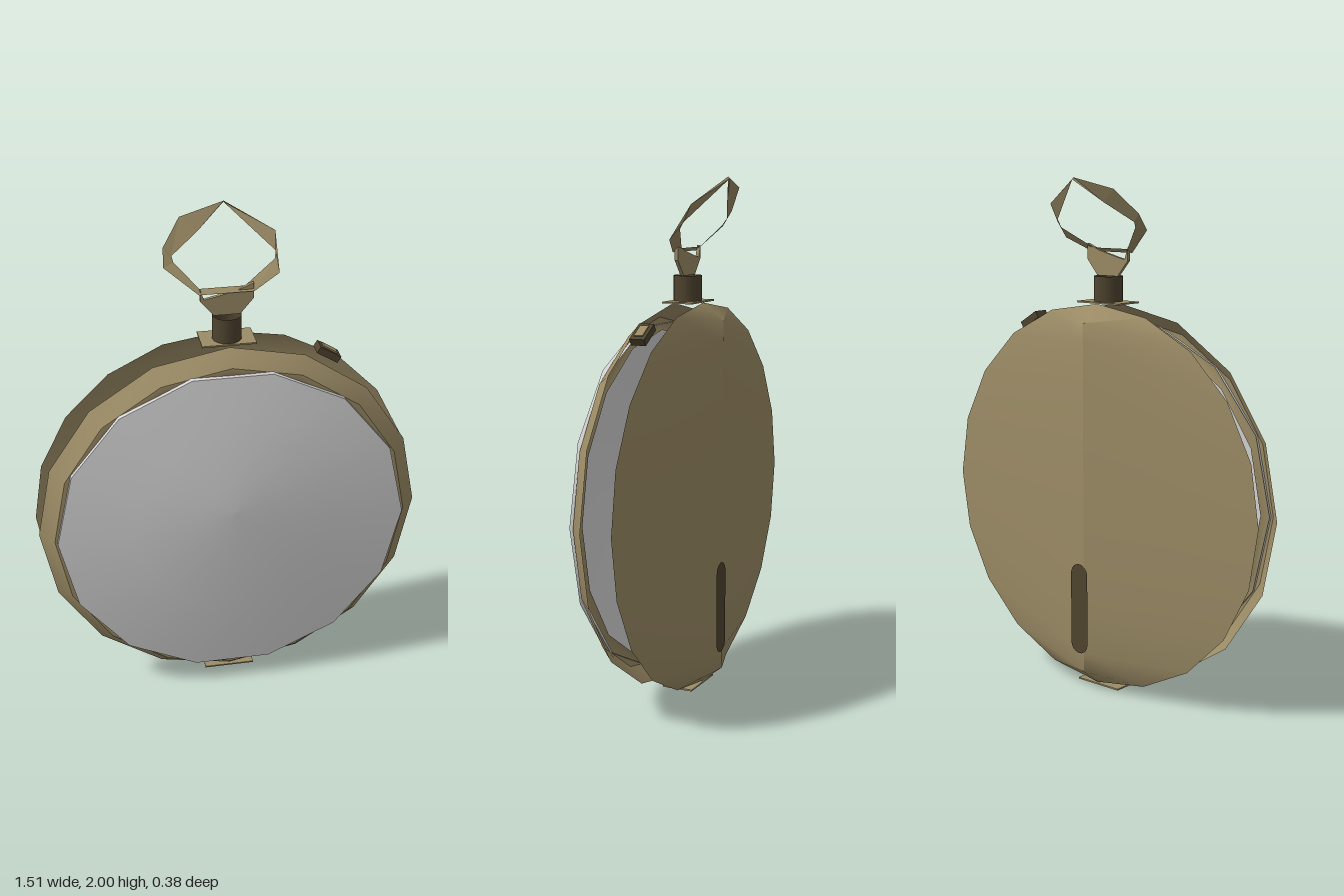
import * as THREE from 'three';

const gold = new THREE.MeshStandardMaterial({ color: 0x9c8c66, side: THREE.DoubleSide });
gold.name = 'antique gold';
const dark = new THREE.MeshStandardMaterial({ color: 0x4f442f, side: THREE.DoubleSide });
dark.name = 'dark bronze';
const glass = new THREE.MeshStandardMaterial({ color: 0xd4d4d4, side: THREE.DoubleSide });
glass.name = 'pale crystal';

const CY = 0.77; // height of the case centre

// Ring of [x, y, z] points around the case centre, starting at the top, counter-clockwise from the front
function ring(n, r, z, turn = 0, cy = CY) {
  return Array.from({ length: n }, (_, i) => {
    const a = Math.PI / 2 + turn + (i / n) * Math.PI * 2;
    return [r * Math.cos(a), cy + r * Math.sin(a), z];
  });
}

// Joins successive rings of equal length into one smooth surface
function loft(rings, closed = true) {
  const n = rings[0].length, index = [];
  for (let k = 0; k < rings.length - 1; k++) {
    for (let i = 0; i < (closed ? n : n - 1); i++) {
      const j = (i + 1) % n, a = k * n, b = a + n;
      index.push(a + i, a + j, b + j, a + i, b + j, b + i);
    }
  }
  const geo = new THREE.BufferGeometry();
  geo.setAttribute('position', new THREE.Float32BufferAttribute(rings.flat(2), 3));
  geo.setIndex(index);
  geo.computeVertexNormals();
  return geo;
}

function shapeOf(points) {
  return new THREE.Shape(points.map(([x, y]) => new THREE.Vector2(x, y)));
}

export function createModel() {
  const model = new THREE.Group();
  const add = (name, geo, mat, x = 0, y = 0, z = 0) => {
    const mesh = new THREE.Mesh(geo, mat);
    mesh.name = name;
    mesh.position.set(x, y, z);
    model.add(mesh);
    return mesh;
  };

  // Front bezel: sloping outer band, narrow lip and inner step
  add('bezelBand', loft([ring(16, 0.752, 0.05), ring(16, 0.695, 0.11)]), gold);
  add('bezelLip', loft([ring(16, 0.695, 0.11), ring(16, 0.665, 0.113), ring(16, 0.645, 0.1)]), gold);

  // Domed crystal with a short upright rim
  const turn = Math.PI / 14;
  add('crystalRim', loft([ring(14, 0.685, 0.1, turn), ring(14, 0.685, 0.13, turn)]), glass);
  add('crystal', loft([
    ring(14, 0.685, 0.13, turn),
    ring(14, 0.4, 0.166, turn, 0.8),
    ring(14, 0.14, 0.186, turn, 0.86),
    ring(14, 0.001, 0.19, turn, 0.88),
  ]), glass);

  // Back cover: round rim rising to an upright central ridge
  const rim = ring(20, 0.757, -0.076);
  const ridge = rim.map(([, y]) => [0, THREE.MathUtils.clamp(y, 0.08, 1.46), -0.16]);
  for (const [name, from, to] of [['backCoverRight', 0, 11], ['backCoverLeft', 10, 21]]) {
    const pick = (list) => [...list, list[0]].slice(from, to);
    add(name, loft([pick(ridge), pick(rim)], false), gold);
  }

  // Rounded dark mark low on the back
  const pill = new THREE.Shape();
  pill.absarc(0, 0.14, 0.042, 0, Math.PI);
  pill.absarc(0, -0.14, 0.042, Math.PI, Math.PI * 2);
  add('backMark', new THREE.ShapeGeometry(pill, 6), dark, 0.02, 0.335, -0.164).rotation.y = Math.PI;

  // Square plates bridging the case at top and bottom
  for (const [name, y] of [['topPlate', 1.53], ['bottomPlate', 0.004]]) {
    add(name, new THREE.BoxGeometry(0.205, 0.006, 0.125), gold, 0, y, -0.013);
  }

  // Open stem tube
  add('stem', new THREE.CylinderGeometry(0.055, 0.055, 0.1, 16, 1, true), dark, 0, 1.58, -0.01);

  // Flared neck between the stem and the bow
  const neck = shapeOf([
    [-0.05, 1.63], [0.05, 1.63], [0.1, 1.69], [0.1, 1.75], [0.04, 1.725],
    [-0.04, 1.705], [-0.085, 1.695], [-0.1, 1.74], [-0.1, 1.69],
  ]);
  add('neck', new THREE.ExtrudeGeometry(neck, { depth: 0.014, bevelEnabled: false }), gold, 0, 0, -0.017);

  // Bow: thin faceted loop leaning backwards
  const outer = [[0.02, 2], [-0.15, 1.96], [-0.22, 1.87], [-0.225, 1.81], [-0.105, 1.72],
    [0.1, 1.72], [0.2, 1.77], [0.2, 1.9]];
  const inner = [[0.02, 1.993], [-0.085, 1.91], [-0.19, 1.84], [-0.185, 1.82], [-0.1, 1.735],
    [0.07, 1.735], [0.19, 1.81], [0.195, 1.835]];
  const lean = (points, dz) => points.map(([x, y]) => [x, y, 0.005 - (y - 1.72) * 0.68 + dz]);
  const bow = loft([lean(outer, 0), lean(inner, -0.012)]).toNonIndexed();
  bow.computeVertexNormals();
  add('bow', bow, gold);

  // Small push button on the upper side of the case
  const button = new THREE.Group();
  button.name = 'pushButton';
  const base = new THREE.Mesh(new THREE.BoxGeometry(0.095, 0.028, 0.06), dark);
  base.name = 'buttonBase';
  const cap = new THREE.Mesh(new THREE.BoxGeometry(0.06, 0.006, 0.034), gold);
  cap.name = 'buttonCap';
  cap.position.y = 0.016;
  button.add(base, cap);
  button.position.set(0.388, 1.437, -0.013);
  button.rotation.z = -0.55;
  model.add(button);

  return model;
}
